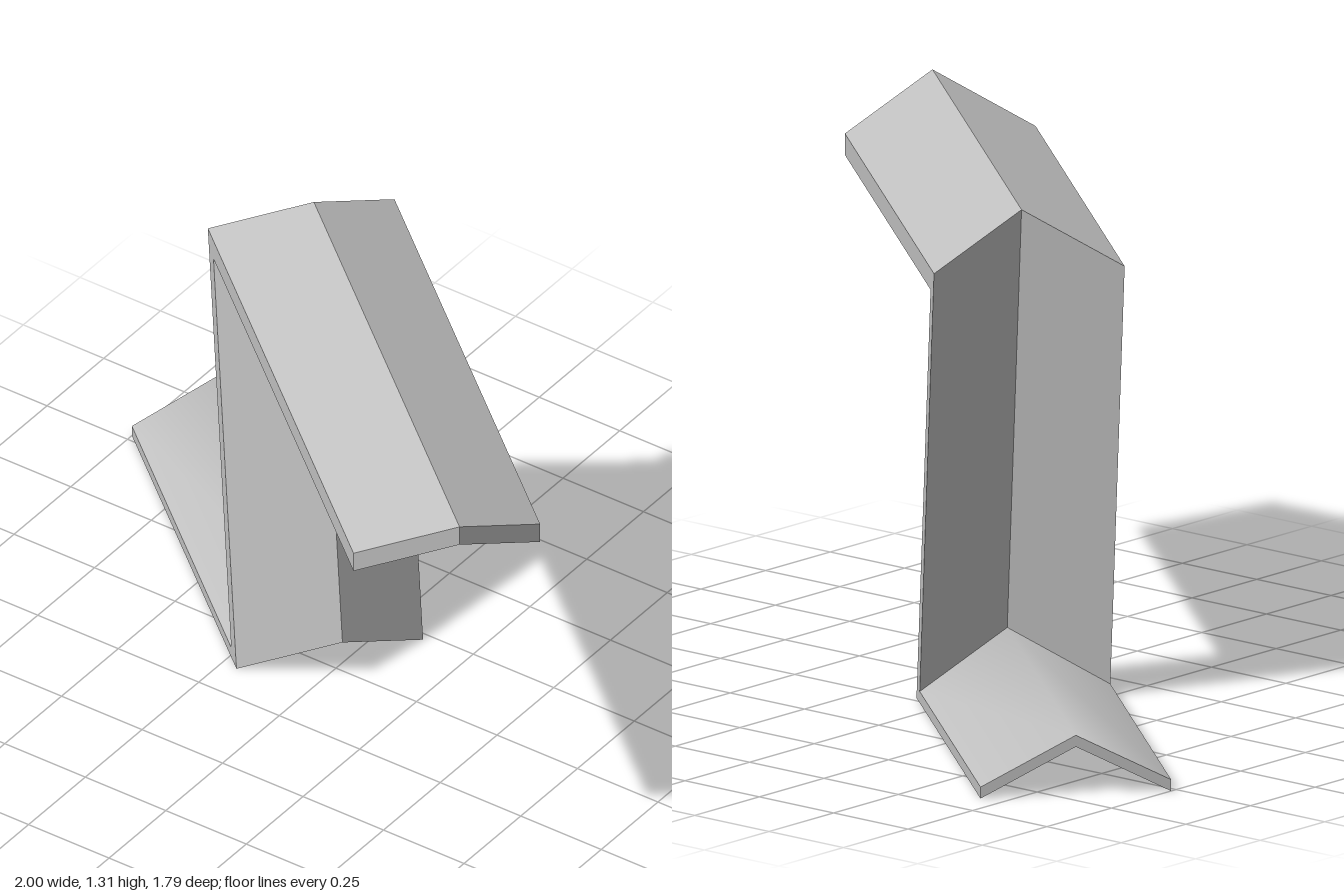
import * as THREE from 'three';

const HALF = 0.245; // half width of the bent strip
const RISE = 0.126; // the ridge is shifted forwards and up by this much

// Builds one bar from a counter-clockwise side section [along, up, ridge shift along].
// The section stands at both edges and, shifted, at the ridge. Mitred sides are skipped.
function bar(name, section, mitres, material, smooth) {
  const positions = [], index = [];
  const at = (p, s) => s === 1
    ? [p[0] + (p[2] ?? RISE), p[1] + RISE, 0]
    : [p[0], p[1], (s - 1) * HALF];

  // long sides and tips, each folded at the ridge
  section.forEach((p, i) => {
    if (mitres.includes(i)) return;
    const q = section[(i + 1) % section.length];
    const b = positions.length / 3;
    for (let s = 0; s < 3; s++) positions.push(...at(p, s), ...at(q, s));
    for (const o of [b, b + 2]) index.push(o, o + 1, o + 3, o, o + 3, o + 2);
  });

  // thin outer edges
  for (const s of [0, 2]) {
    const b = positions.length / 3;
    section.forEach((p) => positions.push(...at(p, s)));
    if (s === 2) index.push(b, b + 1, b + 2, b, b + 2, b + 3);
    else index.push(b, b + 2, b + 1, b, b + 3, b + 2);
  }

  let geometry = new THREE.BufferGeometry();
  geometry.setAttribute('position', new THREE.Float32BufferAttribute(positions, 3));
  geometry.setIndex(index);
  if (!smooth) geometry = geometry.toNonIndexed();
  geometry.computeVertexNormals();
  const mesh = new THREE.Mesh(geometry, material);
  mesh.name = name;
  return mesh;
}

export function createModel() {
  const grey = new THREE.MeshStandardMaterial({ color: 0xc0c0c0 });
  grey.name = 'plain grey';

  // corners shared by neighbouring bars
  const topInner = [-0.29, 1.128], topOuter = [-0.346, 1.184];
  const footOuter = [-0.062, 0], footInner = [-0.114, 0.03];

  const group = new THREE.Group();
  group.name = 'foldedStand';
  group.add(
    bar('topArm', [topInner, [1.1, 1.128], [1.1, 1.184], topOuter], [3], grey, false),
    bar('upright', [footOuter, topInner, topOuter, footInner], [1, 3], grey, false),
    // the base has a square-cut tip and a softly shaded ridge
    bar('base', [[-1.1, 0, 0], footOuter, footInner, [-1.1, 0.03, 0]], [1], grey, true),
  );
  // turn the whole strip across the diagonal
  group.children.forEach((part) => { part.rotation.y = THREE.MathUtils.degToRad(-40); });
  return group;
}
